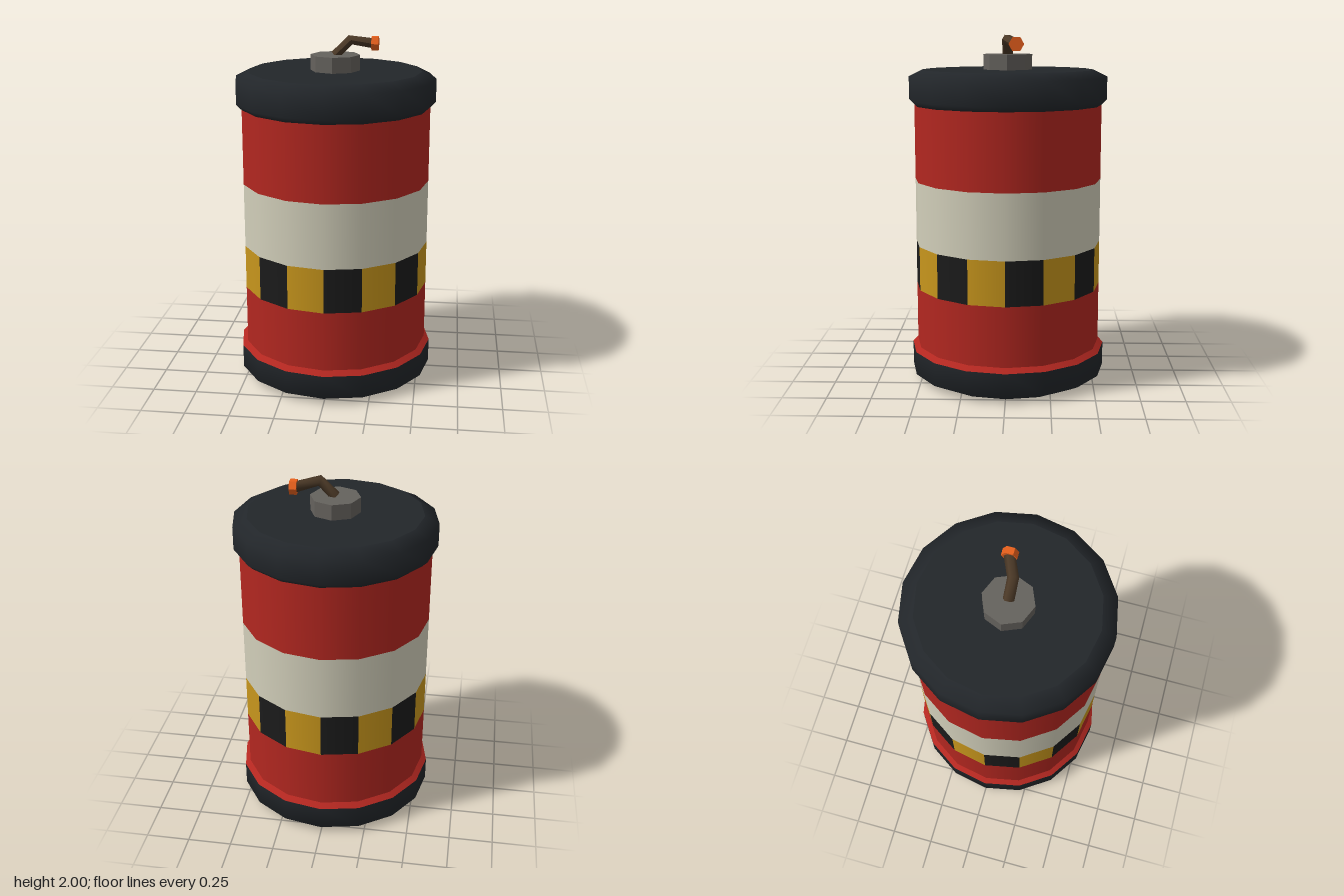
import * as THREE from 'three';

const SIDES = 16;
const BODY_R = 0.54;
const CAP_R = 0.57;

const material = (color, flatShading = false) =>
  new THREE.MeshStandardMaterial({ color, flatShading });

const red = material(0xb32720);
const cream = material(0xd2cfba);
const yellow = material(0xc8961c);
const black = material(0x1b1b1b);
const capDark = material(0x22262a);
const metal = material(0x65625d, true);
const cord = material(0x4a3826);
const ember = material(0xe8601c, true);

function addMesh(parent, name, geometry, mat) {
  const mesh = new THREE.Mesh(geometry, mat);
  mesh.name = name;
  parent.add(mesh);
  return mesh;
}

// Revolved [radius, y] profile, bottom to top; a repeated point makes a sharp edge.
function lathe(profile, segments = SIDES, start = 0, sweep = Math.PI * 2) {
  const points = profile.map(([r, y]) => new THREE.Vector2(r, y));
  return new THREE.LatheGeometry(points, segments, start, sweep);
}

// Six-sided cord: one cylinder ring per path point, mitred at the bend.
function cordGeometry(path, radius) {
  const last = path.length - 1;
  const geometry = new THREE.CylinderGeometry(radius, radius, last, 6, last);
  const pos = geometry.attributes.position;
  const side = new THREE.Vector3(0, 0, 1);
  const v = new THREE.Vector3();
  for (let i = 0; i < pos.count; i++) {
    v.fromBufferAttribute(pos, i);
    const k = Math.round(v.y + last / 2);
    const dir = new THREE.Vector3();
    if (k > 0) dir.add(path[k].clone().sub(path[k - 1]).normalize());
    if (k < last) dir.add(path[k + 1].clone().sub(path[k]).normalize());
    dir.normalize();
    const across = dir.clone().cross(side).normalize();
    const depth = across.clone().cross(dir);
    const p = path[k].clone().addScaledVector(across, v.x).addScaledVector(depth, v.z);
    pos.setXYZ(i, p.x, p.y, p.z);
  }
  geometry.computeVertexNormals();
  return geometry;
}

export function createModel() {
  const model = new THREE.Group();
  model.name = 'striped canister with fuse';

  // Painted body bands, the lowest flaring out to meet the bottom cap
  const body = new THREE.Group();
  body.name = 'body';
  model.add(body);
  addMesh(body, 'lowerBand', lathe([
    [CAP_R, 0.175], [BODY_R, 0.2], [BODY_R, 0.2], [BODY_R, 0.545],
  ]), red);
  addMesh(body, 'paleBand', lathe([[BODY_R, 0.8], [BODY_R, 1.17]]), cream);
  addMesh(body, 'upperBand', lathe([[BODY_R, 1.17], [BODY_R, 1.61]]), red);

  // Warning band of alternating panels, one per side
  const warningBand = new THREE.Group();
  warningBand.name = 'warningBand';
  body.add(warningBand);
  const step = (Math.PI * 2) / SIDES;
  for (let i = 0; i < SIDES; i++) {
    addMesh(warningBand, 'warningPanel',
      lathe([[BODY_R, 0.545], [BODY_R, 0.8]], 1, i * step, step),
      i % 2 ? yellow : black);
  }

  // Bevelled end caps
  addMesh(model, 'bottomCap', lathe([
    [0, 0], [0.49, 0], [0.49, 0], [CAP_R, 0.04], [CAP_R, 0.175],
  ]), capDark);
  addMesh(model, 'topCap', lathe([
    [BODY_R, 1.6], [CAP_R, 1.63], [CAP_R, 1.76], [0.49, 1.8], [0.49, 1.8], [0, 1.8],
  ]), capDark);

  // Fuse collar
  const collar = addMesh(model, 'fuseCollar',
    new THREE.CylinderGeometry(0.14, 0.14, 0.095, 8), metal);
  collar.position.y = 1.84;

  // Bent fuse and its glowing tip
  addMesh(model, 'fuse', cordGeometry([
    new THREE.Vector3(0, 1.885, 0),
    new THREE.Vector3(0.085, 1.97, 0),
    new THREE.Vector3(0.215, 1.945, -0.055),
  ], 0.03), cord);
  const tip = addMesh(model, 'fuseTip',
    new THREE.CylinderGeometry(0.043, 0.043, 0.04, 6), ember);
  tip.rotation.z = -Math.PI / 2;
  tip.position.set(0.22, 1.946, -0.053);

  return model;
}
